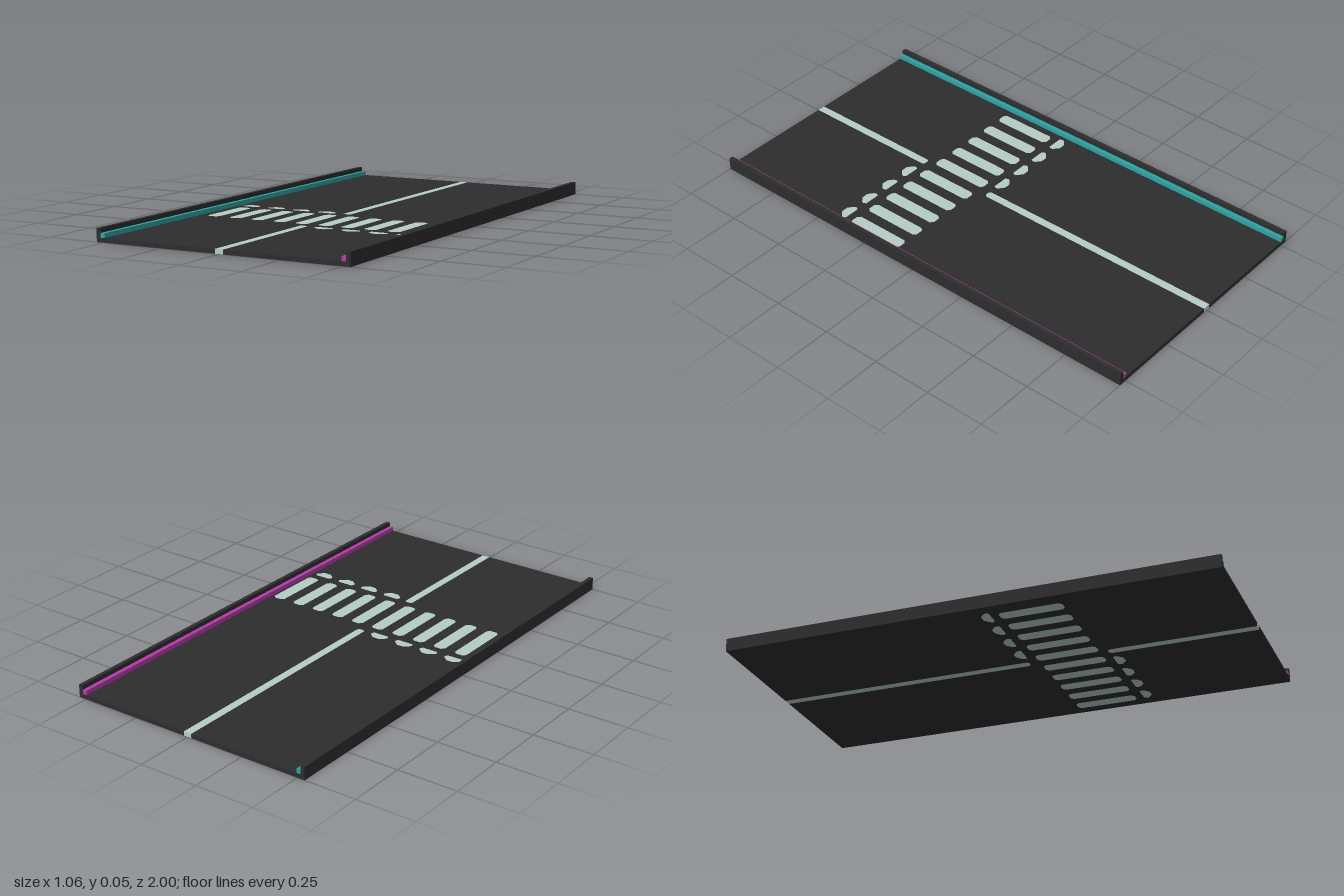
import * as THREE from 'three';

const T = 0.0177;      // slab and kerb thickness
const W = 0.532;       // half width
const L = 1;           // half length
const MID = 0.241;     // z of the crossing's centre

const mat = (name, color) => {
  const m = new THREE.MeshStandardMaterial({ color });
  m.name = name;
  return m;
};

// Plan points are [x, z]; the extruded slab rises from y = 0
const toPlan = (pts) => pts.map(([x, z]) => new THREE.Vector2(x, -z));

function slab(outline, holes = []) {
  const shape = new THREE.Shape(toPlan(outline));
  shape.holes = holes.map((h) => new THREE.Path(toPlan(h)));
  const geo = new THREE.ExtrudeGeometry(shape, { depth: T, bevelEnabled: false });
  return geo.rotateX(-Math.PI / 2);
}

// Crossing bar with clipped corners
function barPoints(x) {
  const w = 0.0265, h = 0.127, c = 0.012;
  return [[-w, -h + c], [-w + c, -h], [w - c, -h], [w, -h + c],
    [w, h - c], [w - c, h], [-w + c, h], [-w, h - c]].map(([a, b]) => [x + a, MID + b]);
}

// Give-way tooth; dir = -1 points to the back, 1 to the front
function toothPoints(x, dir) {
  return [[-0.034, 0.159], [0.034, 0.159], [0.04, 0.172], [0.034, 0.182], [0.014, 0.198],
    [-0.014, 0.198], [-0.034, 0.182], [-0.04, 0.172]].map(([a, b]) => [x + a, MID + dir * b]);
}

// Centre line from the road's end to the crossing, with a clipped tip
function linePoints(end, tip) {
  const w = 0.017, c = 0.008, s = Math.sign(end);
  return [[-w, end], [-w, tip + s * c], [-w + c, tip], [w - c, tip], [w, tip + s * c], [w, end]];
}

export function createModel() {
  const asphalt = mat('asphalt', 0x2d2d2d);
  const paint = mat('palePaint', 0xb5cdc5);
  const teal = mat('tealStrip', 0x2aa3a3);
  const magenta = mat('magentaStrip', 0xb53aab);

  const group = new THREE.Group();
  group.name = 'roadSection';
  const add = (name, geo, material) => {
    const mesh = new THREE.Mesh(geo, material);
    mesh.name = name;
    group.add(mesh);
    return mesh;
  };

  // Markings are inlaid through the full slab
  const inlays = [];
  for (let i = 0; i < 10; i++) inlays.push(['crossingBar', barPoints(-0.4395 + i * 0.1)]);
  for (let i = 0; i < 4; i++) {
    const x = 0.09 + i * 0.1173;
    inlays.push(['backTooth', toothPoints(-x, -1)], ['frontTooth', toothPoints(x, 1)]);
  }
  const backLine = linePoints(-L, 0.073);
  const frontLine = linePoints(L, 0.4);

  // Road bed, notched for the centre lines and pierced for the other markings
  const inner = W - T;
  const bed = [[-inner, -L], ...backLine, [inner, -L], [inner, L], ...[...frontLine].reverse(), [-inner, L]];
  add('roadBed', slab(bed, inlays.map(([, pts]) => pts)), asphalt);
  for (const [name, pts] of inlays) add(name, slab(pts), paint);
  add('backCentreLine', slab(backLine), paint);
  add('frontCentreLine', slab(frontLine), paint);

  // Kerbs with a coloured light strip along each inner foot
  for (const [side, s, colour] of [['right', -1, teal], ['left', 1, magenta]]) {
    add(side + 'Kerb', new THREE.BoxGeometry(T, 3 * T, 2 * L), asphalt)
      .position.set(s * (W - T / 2), 1.5 * T, 0);
    add(side + 'LightStrip', new THREE.BoxGeometry(T, T, 2 * L), colour)
      .position.set(s * (W - 1.5 * T), 1.5 * T, 0);
  }
  return group;
}
